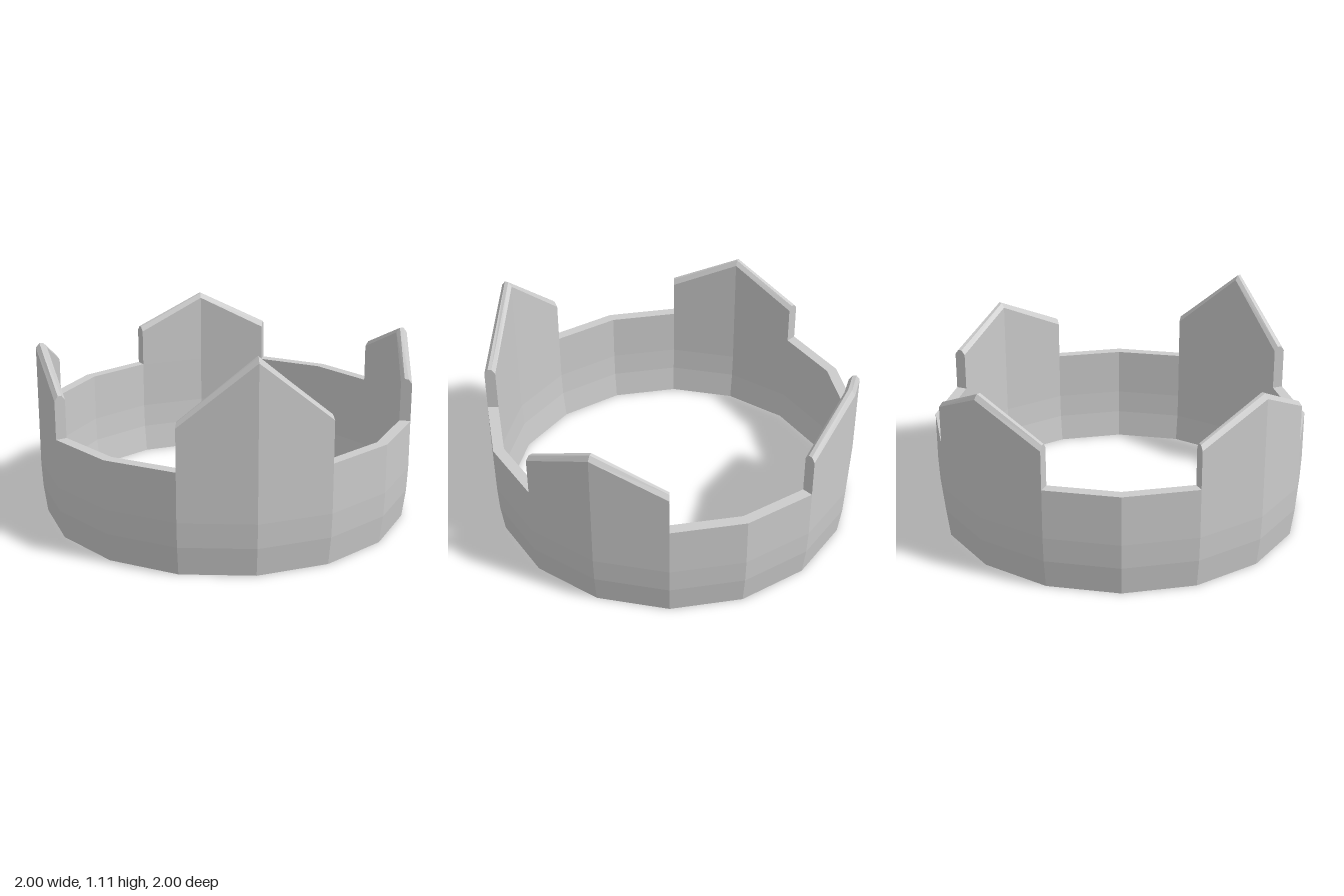
import * as THREE from 'three';

const SIDES = 16;
const STEP = (Math.PI * 2) / SIDES;
const TWIST = 0.016; // small turn of the whole ring about y
const R_OUT = 1, R_IN = 0.942, BAND_TOP = 0.54, BEVEL = 0.025;

const material = new THREE.MeshStandardMaterial({ color: 0xcccccc, flatShading: true });

// Closed wall profile, drawn in slightly towards the bottom
function createBand() {
  const profile = [
    [0.975, 0], [0.994, 0.15], [R_OUT, 0.28], [R_OUT, BAND_TOP],
    [R_IN, BAND_TOP], [R_IN, 0.28], [0.936, 0.15], [0.917, 0], [0.975, 0],
  ].map(([r, y]) => new THREE.Vector2(r, y));
  const geometry = new THREE.LatheGeometry(profile, SIDES, TWIST).toNonIndexed();
  geometry.computeVertexNormals();
  const mesh = new THREE.Mesh(geometry, material);
  mesh.name = 'band';
  return mesh;
}

// Pointed merlon two facets wide, with bevelled top edges
function createPoint(name, middle, shoulder, peak) {
  const positions = [];
  const tri = (...corners) => corners.forEach((v) => positions.push(v.x, v.y, v.z));

  // Cross-section at one ring corner: up the outside, over the top, down the inside
  const section = (k, h) => {
    const a = k * STEP + TWIST;
    return [
      [R_OUT, BAND_TOP], [R_OUT, h - BEVEL], [R_OUT - 0.019, h],
      [R_IN + 0.019, h], [R_IN, h - BEVEL], [R_IN, BAND_TOP],
    ].map(([r, y]) => new THREE.Vector3(r * Math.sin(a), y, r * Math.cos(a)));
  };
  const loops = [
    section(middle - 1, shoulder), section(middle, peak), section(middle + 1, shoulder),
  ];

  // Outside, top and inside surfaces
  for (let i = 0; i < 2; i++) {
    const p = loops[i], q = loops[i + 1];
    for (let j = 0; j < p.length - 1; j++) {
      tri(p[j], q[j], q[j + 1]);
      tri(p[j], q[j + 1], p[j + 1]);
    }
  }
  // Upright ends
  const [start, , end] = loops;
  for (let j = 1; j < start.length - 1; j++) {
    tri(start[0], start[j], start[j + 1]);
    tri(end[0], end[j + 1], end[j]);
  }

  const geometry = new THREE.BufferGeometry();
  geometry.setAttribute('position', new THREE.Float32BufferAttribute(positions, 3));
  geometry.computeVertexNormals();
  const mesh = new THREE.Mesh(geometry, material);
  mesh.name = name;
  return mesh;
}

export function createModel() {
  const group = new THREE.Group();
  group.name = 'crownRing';
  group.add(createBand());
  // Tall point in front, three lower ones around the rest
  group.add(createPoint('frontPoint', 0, 0.785, 1.107));
  ['leftPoint', 'backPoint', 'rightPoint'].forEach((name, i) => {
    group.add(createPoint(name, (i + 1) * 4, 0.768, 0.943));
  });
  return group;
}
